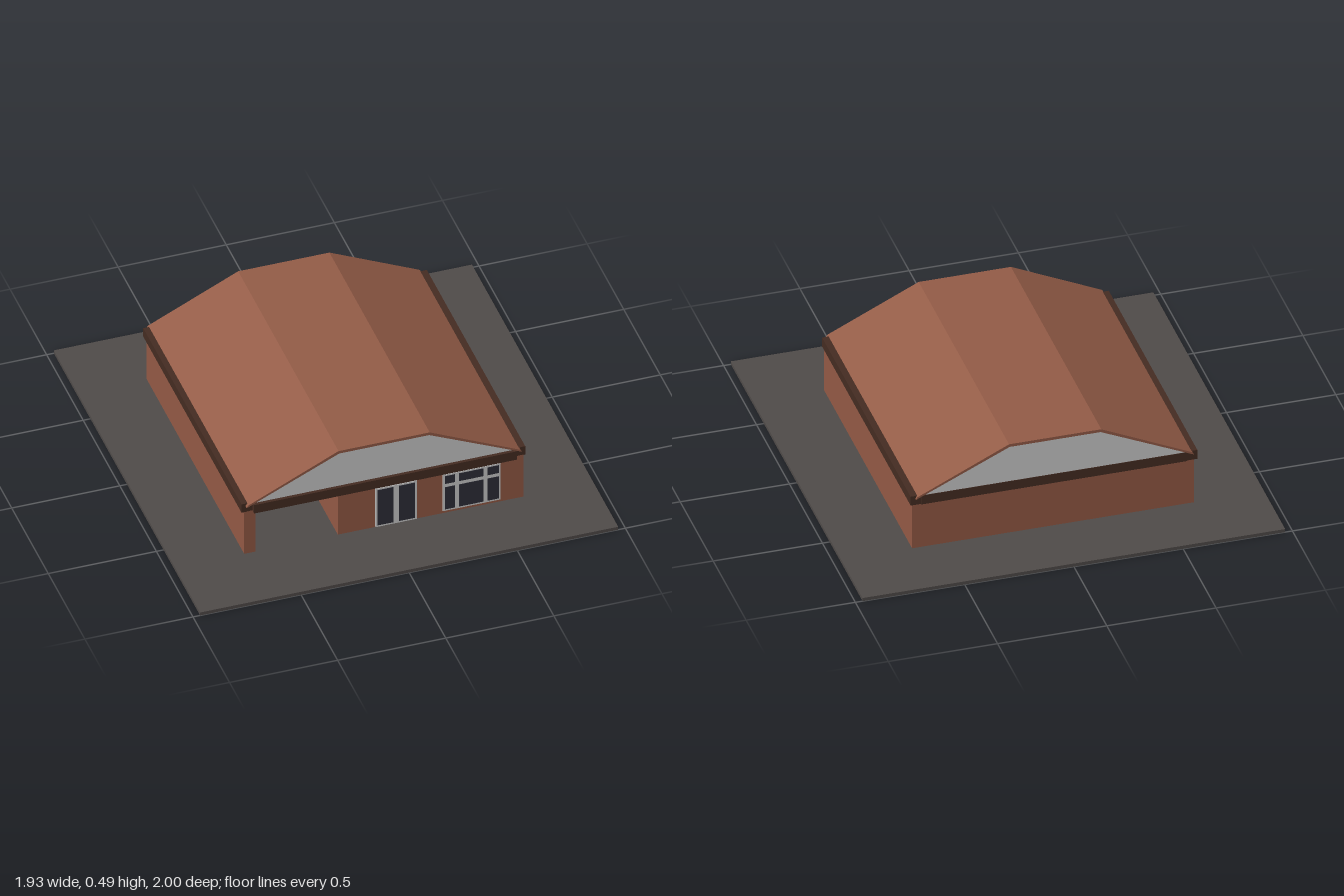
import * as THREE from 'three';

const material = (name, color) => {
  const m = new THREE.MeshStandardMaterial({ color });
  m.name = name;
  return m;
};

export function createModel() {
  const brick = material('brick', 0x945a45);
  const tile = material('roof tile', 0x945c47);
  const paving = material('paving', 0x504b49);
  const timber = material('dark timber', 0x452c22);
  const white = material('pale trim', 0xcccccc);
  const glass = material('dark glass', 0x2d2d38);
  const rubber = material('black rubber', 0x1c1a20);

  const house = new THREE.Group();
  house.name = 'house';

  const add = (name, geometry, mat, parent = house) => {
    const mesh = new THREE.Mesh(geometry, mat);
    mesh.name = name;
    parent.add(mesh);
    return mesh;
  };
  // Box given by its limits on each axis
  const box = (name, mat, x0, x1, y0, y1, z0, z1, parent = house) => {
    const mesh = add(name, new THREE.BoxGeometry(x1 - x0, y1 - y0, z1 - z0), mat, parent);
    mesh.position.set((x0 + x1) / 2, (y0 + y1) / 2, (z0 + z1) / 2);
    return mesh;
  };
  const prism = (name, mat, points, z0, z1) => {
    const shape = new THREE.Shape(points.map(([x, y]) => new THREE.Vector2(x, y)));
    const geometry = new THREE.ExtrudeGeometry(shape, { depth: z1 - z0, bevelEnabled: false });
    geometry.translate(0, 0, z0);
    return add(name, geometry, mat);
  };

  box('groundSlab', paving, -0.967, 0.967, 0, 0.016, -1, 1);

  // Walls, with an open carport at the front right
  const y0 = 0.016, y1 = 0.247;
  box('carportOuterWall', brick, -0.648, -0.595, y0, y1, -0.677, 0.66);
  box('carportBackWall', brick, -0.595, -0.215, y0, y1, -0.677, -0.625);
  box('mainRooms', brick, -0.215, 0.643, y0, y1, -0.677, 0.66);
  box('carportSideDoor', timber, -0.238, -0.215, y0, y1, 0.05, 0.22);
  box('carportPalePanel', white, -0.595, -0.567, y0, y1, -0.1, 0.12);
  box('ceiling', white, -0.61, 0.61, 0.247, 0.255, -0.67, 0.66);

  // Fascia boards and side gutters
  for (const s of [-1, 1]) {
    const cx = s * 0.63 - 0.004;
    box('sideGutter', timber, cx - 0.026, cx + 0.026, 0.245, 0.291, -0.685, 0.66);
  }
  box('frontFascia', timber, -0.61, 0.605, 0.245, 0.291, 0.655, 0.683);
  box('backFascia', timber, -0.61, 0.605, 0.245, 0.291, -0.69, -0.665);

  // Roof shell with a flat crown
  prism('roof', tile, [
    [-0.642, 0.277], [-0.635, 0.29], [-0.217, 0.488], [0.205, 0.488], [0.624, 0.29],
    [0.631, 0.277], [0.202, 0.474], [-0.214, 0.474],
  ], -0.696, 0.676);

  // Pale gable infill at both ends
  const gable = [[-0.61, 0.287], [0.6, 0.287], [0.202, 0.476], [-0.214, 0.476]];
  prism('frontGable', white, gable, 0.648, 0.668);
  prism('backGable', white, gable, -0.688, -0.668);

  // Pale frame with dark panes laid over it
  const glazing = (name, [x0, x1, b, t], panes) => {
    const group = new THREE.Group();
    group.name = name;
    house.add(group);
    box('frame', white, x0, x1, b, t, 0.659, 0.665, group);
    for (const [a, c, d, e] of panes) box('pane', glass, a, c, d, e, 0.662, 0.667, group);
  };
  glazing('patioDoors', [-0.042, 0.15, 0.018, 0.228], [
    [-0.033, 0.04, 0.027, 0.22], [0.066, 0.139, 0.027, 0.22],
  ]);
  const columns = [[0.278, 0.325], [0.345, 0.457], [0.476, 0.528]];
  glazing('frontWindow', [0.269, 0.535, 0.03, 0.229], columns.flatMap(([a, c]) => [
    [a, c, 0.039, 0.16], [a, c, 0.179, 0.221],
  ]));

  // Small wheeled cart parked inside the carport
  const cart = new THREE.Group();
  cart.name = 'cart';
  house.add(cart);
  box('cartBase', rubber, -0.555, -0.49, y0, 0.04, -0.06, 0.06, cart);
  box('cartBed', rubber, -0.565, -0.455, 0.04, 0.062, -0.07, 0.07, cart);
  const tyre = add('tyre', new THREE.TorusGeometry(0.028, 0.008, 8, 24), rubber, cart);
  const hub = add('hub', new THREE.CylinderGeometry(0.022, 0.022, 0.01, 20), white, cart);
  hub.rotation.x = Math.PI / 2;
  for (const part of [tyre, hub]) part.position.set(-0.455, 0.053, 0.082);
  for (let i = 0; i < 3; i++) {
    const spoke = add('spokeGap', new THREE.BoxGeometry(0.04, 0.003, 0.004), rubber, cart);
    spoke.position.set(-0.455, 0.053, 0.087);
    spoke.rotation.z = (i * Math.PI) / 3;
  }

  return house;
}
